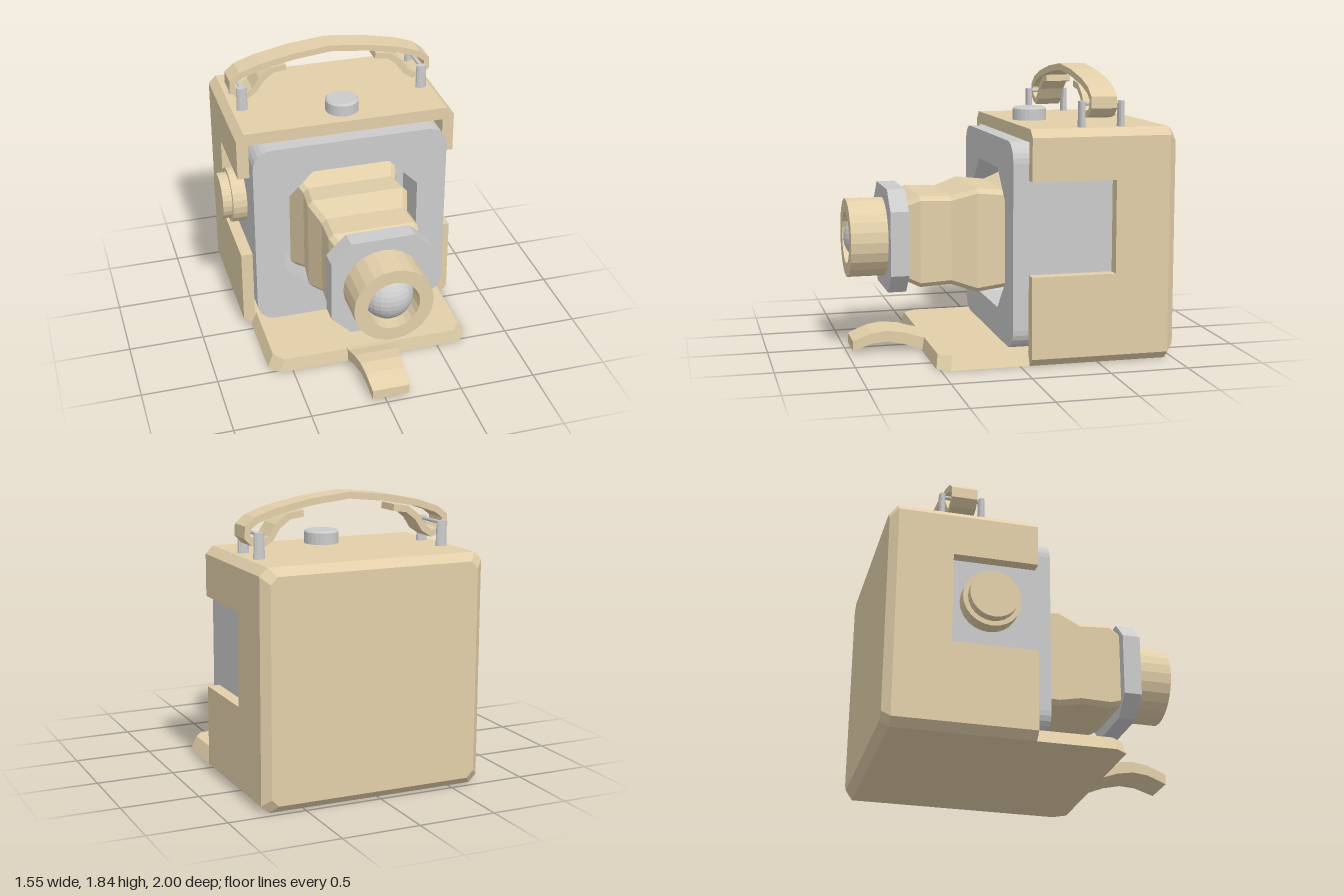
import * as THREE from 'three';

const CX = 0.035, CY = 0.74; // shared axis of body and lens
const mat = (color) => new THREE.MeshStandardMaterial({ color, flatShading: true });

export function createModel() {
  const group = new THREE.Group();
  const tan = mat(0xe2cfa9), grey = mat(0xcccccc);

  const add = (name, geometry, material, x = 0, y = 0, z = 0) => {
    const mesh = new THREE.Mesh(geometry, material);
    mesh.name = name;
    mesh.position.set(x, y, z);
    group.add(mesh);
    return mesh;
  };
  const shapeOf = (pts) => new THREE.Shape(pts.map(([x, y]) => new THREE.Vector2(x, y)));
  const extrude = (shape, z0, z1, curveSegments = 3) =>
    new THREE.ExtrudeGeometry(shape, { depth: z1 - z0, bevelEnabled: false, curveSegments }).translate(0, 0, z0);

  // Capped loft through convex counter-clockwise rings of [x, y], each at its own z
  const loft = (rings) => {
    const pos = [];
    const tri = (...p) => p.forEach((v) => pos.push(...v));
    const r3 = rings.map(({ z, pts }) => pts.map(([x, y]) => [x, y, z]));
    const n = r3[0].length, first = r3[0], last = r3[r3.length - 1];
    for (let k = 0; k < r3.length - 1; k++) {
      for (let i = 0; i < n; i++) {
        const j = (i + 1) % n, a = r3[k][i], b = r3[k][j], c = r3[k + 1][j], d = r3[k + 1][i];
        tri(a, b, c);
        tri(a, c, d);
      }
    }
    for (let i = 1; i < n - 1; i++) {
      tri(first[0], first[i + 1], first[i]);
      tri(last[0], last[i], last[i + 1]);
    }
    const g = new THREE.BufferGeometry();
    g.setAttribute('position', new THREE.Float32BufferAttribute(pos, 3));
    g.computeVertexNormals();
    return g;
  };
  // Rectangle with cut corners, centred on the origin
  const octagon = (w, h, c) => [
    [w, -h + c], [w, h - c], [w - c, h], [-w + c, h],
    [-w, h - c], [-w, -h + c], [-w + c, -h], [w - c, -h],
  ];

  // Case: solid chamfered rear half
  add('caseRear', loft([
    { z: -1, pts: octagon(0.685, 0.69, 0.045) },
    { z: -0.95, pts: octagon(0.735, 0.74, 0.05) },
    { z: -0.6, pts: octagon(0.735, 0.74, 0.05) },
  ]), tan, CX, CY);

  // Case: upper and lower U-shaped walls, leaving a notch in each side
  const uWall = (outer, lip, edge, inner) => {
    const s = Math.sign(outer);
    const pts = [
      [-0.735, edge], [-0.735, outer - s * 0.05], [-0.685, outer], [0.685, outer],
      [0.735, outer - s * 0.05], [0.735, edge], [inner, edge], [inner, lip], [-inner, lip], [-inner, edge],
    ];
    return extrude(shapeOf(pts), -0.6, -0.06);
  };
  add('caseUpperWalls', uWall(0.74, 0.658, 0.42, 0.657), tan, CX, CY);
  add('caseLowerWalls', uWall(-0.74, -0.652, -0.17, 0.657), tan, CX, CY);

  // Inner body with rounded corners and an octagonal bellows recess
  const roundedRect = (w, h, r) => {
    const s = new THREE.Shape();
    s.absarc(w - r, h - r, r, 0, Math.PI / 2);
    s.absarc(-w + r, h - r, r, Math.PI / 2, Math.PI);
    s.absarc(-w + r, -h + r, r, Math.PI, Math.PI * 1.5);
    s.absarc(w - r, -h + r, r, Math.PI * 1.5, Math.PI * 2);
    return s;
  };
  add('innerBody', extrude(roundedRect(0.655, 0.653, 0.13), -0.6, -0.25), grey, CX, CY + 0.003);
  const front = roundedRect(0.655, 0.653, 0.13);
  front.holes.push(shapeOf(octagon(0.457, 0.457, 0.2)));
  add('innerBodyFront', extrude(front, -0.25, 0.04), grey, CX, CY + 0.003);

  // Pleated bellows
  add('bellows', loft([
    [-0.26, 0.34], [-0.16, 0.372], [0.0, 0.315], [0.19, 0.335], [0.35, 0.285], [0.55, 0.294], [0.64, 0.255],
  ].map(([z, w]) => ({ z, pts: octagon(w, w, 0.03) }))), tan, CX, CY);

  // Lens board, barrel and glass
  add('lensBoard', extrude(shapeOf(octagon(0.332, 0.332, 0.127)), 0.63, 0.747), grey, CX, CY);
  const barrel = [[0.255, 0], [0.255, 0.24], [0.167, 0.24], [0.167, 0.08], [0, 0.08]];
  add('lensBarrel', new THREE.LatheGeometry(barrel.map(([r, y]) => new THREE.Vector2(r, y)), 24)
    .rotateX(Math.PI / 2), tan, CX, CY, 0.746);
  add('lensGlass', new THREE.SphereGeometry(0.164, 24, 16), grey, CX, CY, 0.836);

  // Folded-down bed, lofted upward, with sloping cut front corners
  const bedRing = (w, f) => [
    [-w, 0.06], [-w, -f + 0.08], [-w + 0.06, -f], [w - 0.06, -f], [w, -f + 0.08], [w, 0.06],
  ].map(([x, y]) => [x, y]);
  add('bed', loft([
    { z: 0, pts: bedRing(0.685, 0.52) },
    { z: 0.088, pts: bedRing(0.647, 0.505) },
  ]).rotateX(-Math.PI / 2), tan, CX);

  // Curved tapering pull tab
  add('pullTab', loft([
    [0.49, 0.157, 0.003, 0.088], [0.53, 0.157, 0.01, 0.093], [0.63, 0.148, 0.048, 0.125],
    [0.74, 0.138, 0.069, 0.14], [0.84, 0.131, 0.06, 0.128], [0.965, 0.122, 0.015, 0.08],
  ].map(([z, w, lo, hi]) => ({ z, pts: [[-w, lo], [w, lo], [w, hi], [-w, hi]] }))), tan, CX);

  // Stepped focusing knob on the right side
  const knob = (name, r, x0, x1) => add(name,
    new THREE.CylinderGeometry(r, r, x1 - x0, 24).rotateZ(Math.PI / 2), tan, (x0 + x1) / 2, 0.88, -0.355);
  knob('knobBase', 0.186, -0.715, -0.61);
  knob('knobCap', 0.155, -0.778, -0.71);

  // Top button with a bevelled rim
  const button = [[0.11, 0], [0.11, 0.073], [0.098, 0.085], [0, 0.085]];
  add('topButton', new THREE.LatheGeometry(button.map(([r, y]) => new THREE.Vector2(r, y)), 24),
    grey, 0.05, 1.48, -0.235);

  // Strap posts and the rods that join each pair
  for (const side of [-1, 1]) {
    const x = CX + side * 0.617;
    for (const z of [-0.405, -0.66]) {
      add('strapPost', new THREE.CylinderGeometry(0.034, 0.038, 0.17, 12).scale(1, 1, 0.6), grey, x, 1.555, z);
    }
    add('strapRod', new THREE.CylinderGeometry(0.012, 0.012, 0.26, 8).rotateX(Math.PI / 2), grey, x, 1.625, -0.532);
  }

  // Strap: a ribbon arching over the case, its ends looped round the rods
  const half = [
    [-0.305, 1.73], [-0.4, 1.717], [-0.475, 1.66], [-0.52, 1.59], [-0.575, 1.553], [-0.635, 1.57],
    [-0.669, 1.605], [-0.667, 1.66], [-0.61, 1.705], [-0.48, 1.75], [-0.25, 1.796],
  ];
  const line = [...half, [0, 1.823], ...half.map(([x, y]) => [-x, y]).reverse()];
  const ribbonSide = (d) => line.map(([x, y], i) => {
    const a = line[Math.max(i - 1, 0)], b = line[Math.min(i + 1, line.length - 1)];
    const l = Math.hypot(b[0] - a[0], b[1] - a[1]);
    return [x - (d * (b[1] - a[1])) / l, y + (d * (b[0] - a[0])) / l];
  });
  add('carryStrap', extrude(shapeOf([...ribbonSide(0.021), ...ribbonSide(-0.021).reverse()]), -0.61, -0.445), tan, CX);

  return group;
}
